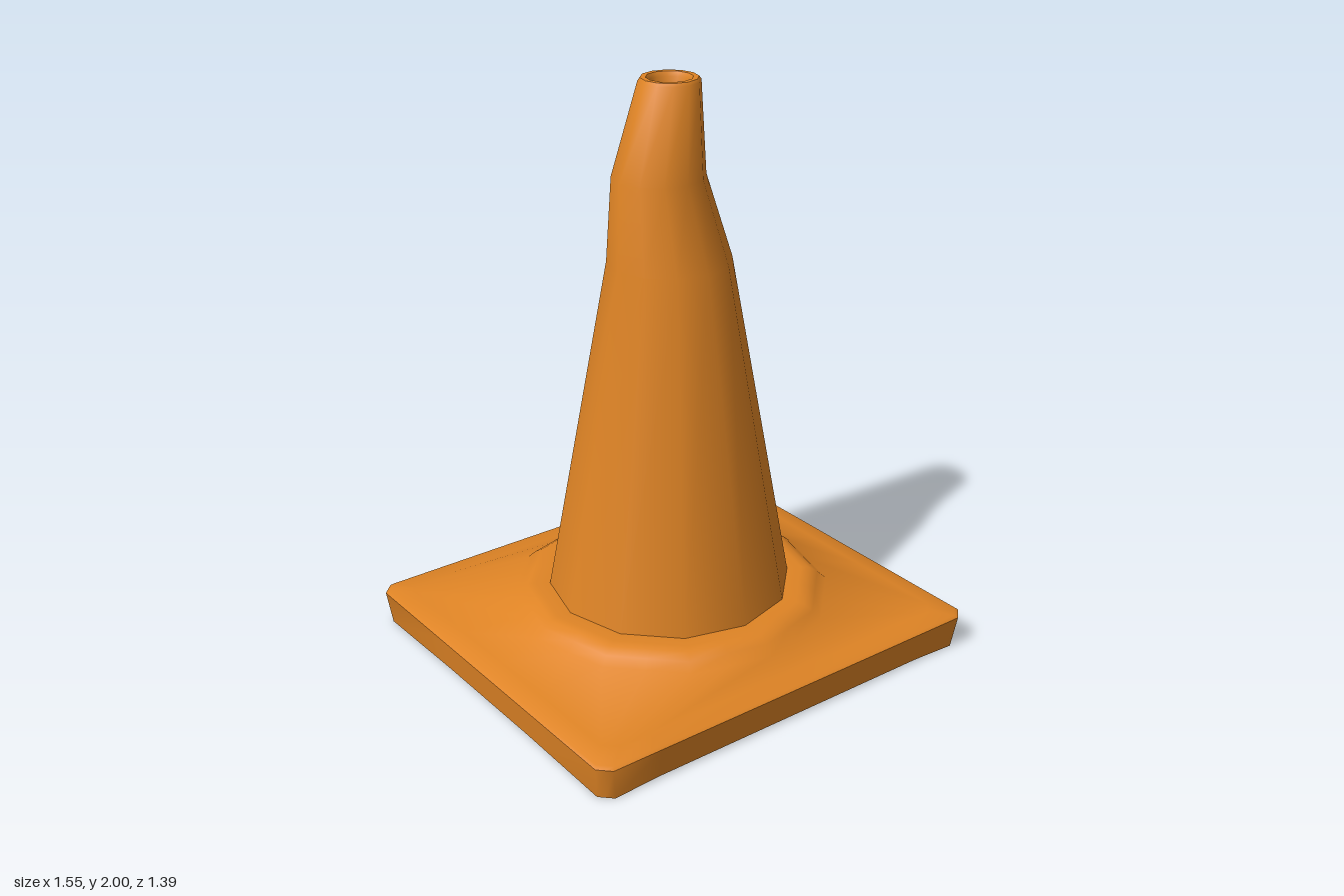
import * as THREE from 'three';
import { toCreasedNormals } from 'three/addons/utils/BufferGeometryUtils.js';

const rubber = new THREE.MeshStandardMaterial({ color: 0xdf8425, side: THREE.DoubleSide });
rubber.name = 'orange rubber';

// Skin a stack of closed rings, each an array of [x, y, z]
function loft(rings, crease) {
  const n = rings[0].length;
  const index = [];
  for (let i = 0; i < rings.length - 1; i++) {
    for (let j = 0; j < n; j++) {
      const a = i * n + j, b = i * n + (j + 1) % n;
      index.push(a, a + n, b, b, a + n, b + n);
    }
  }
  const geometry = new THREE.BufferGeometry();
  geometry.setAttribute('position', new THREE.Float32BufferAttribute(rings.flat(2), 3));
  geometry.setIndex(index);
  return toCreasedNormals(geometry, crease);
}

// Twelve-sided ring; split puts extra points along each side
function polygonRing(r, y, cx = 0, split = 1) {
  const ring = [];
  for (let k = 0; k < 12 * split; k++) {
    const t = (k % split) / split;
    const a = Math.floor(k / split) * Math.PI / 6, b = a + Math.PI / 6;
    ring.push([
      cx + r * (Math.cos(a) * (1 - t) + Math.cos(b) * t),
      y,
      r * (Math.sin(a) * (1 - t) + Math.sin(b) * t),
    ]);
  }
  return ring;
}

// Rectangle with cut corners, 24 points; lift raises the middle of each side
function plateRing(w, d, y, lift = 0) {
  const c = 0.04;
  const quarter = [
    [w, 0, lift], [w, 0.24, lift], [w, d - c, 0], [w - c / 2, d - c / 2, 0],
    [w - c, d, 0], [0.55, d, lift], [0, d, lift],
  ];
  const at = (k) => {
    const q = Math.floor(k / 6), i = k % 6;
    const [x, z, l] = quarter[q % 2 ? 6 - i : i];
    const sx = q === 1 || q === 2 ? -1 : 1, sz = q >= 2 ? -1 : 1;
    return [x * sx, y + l, z * sz];
  };
  return Array.from({ length: 24 }, (_, k) => at(k));
}

export function createModel() {
  const group = new THREE.Group();
  group.name = 'trafficCone';

  // Hollow base: skirt, sloping top and raised collar
  const base = new THREE.Mesh(loft([
    plateRing(0.76, 0.68, 0, 0.008),
    plateRing(0.775, 0.695, 0.115),
    plateRing(0.765, 0.685, 0.123),
    plateRing(0.70, 0.62, 0.13),
    polygonRing(0.56, 0.172, 0, 2),
    polygonRing(0.53, 0.2, 0, 2),
    polygonRing(0.50, 0.218, 0, 2),
    polygonRing(0.47, 0.222, 0, 2),
    polygonRing(0.42, 0.22, 0, 2),
  ], 0.9), rubber);
  base.name = 'base';
  group.add(base);

  // Dented cone with a rolled rim around the open top: [radius, y, centre x]
  const sections = [
    [0.42, 0.22, 0], [0.207, 1.4, 0], [0.153, 1.69, -0.043],
    [0.101, 1.99, 0], [0.094, 2, 0], [0.076, 2, 0], [0.066, 1.985, 0], [0.066, 1.9, 0],
  ];
  const cone = new THREE.Mesh(loft(sections.map((s) => polygonRing(...s)), 0.9), rubber);
  cone.name = 'cone';
  group.add(cone);

  return group;
}
